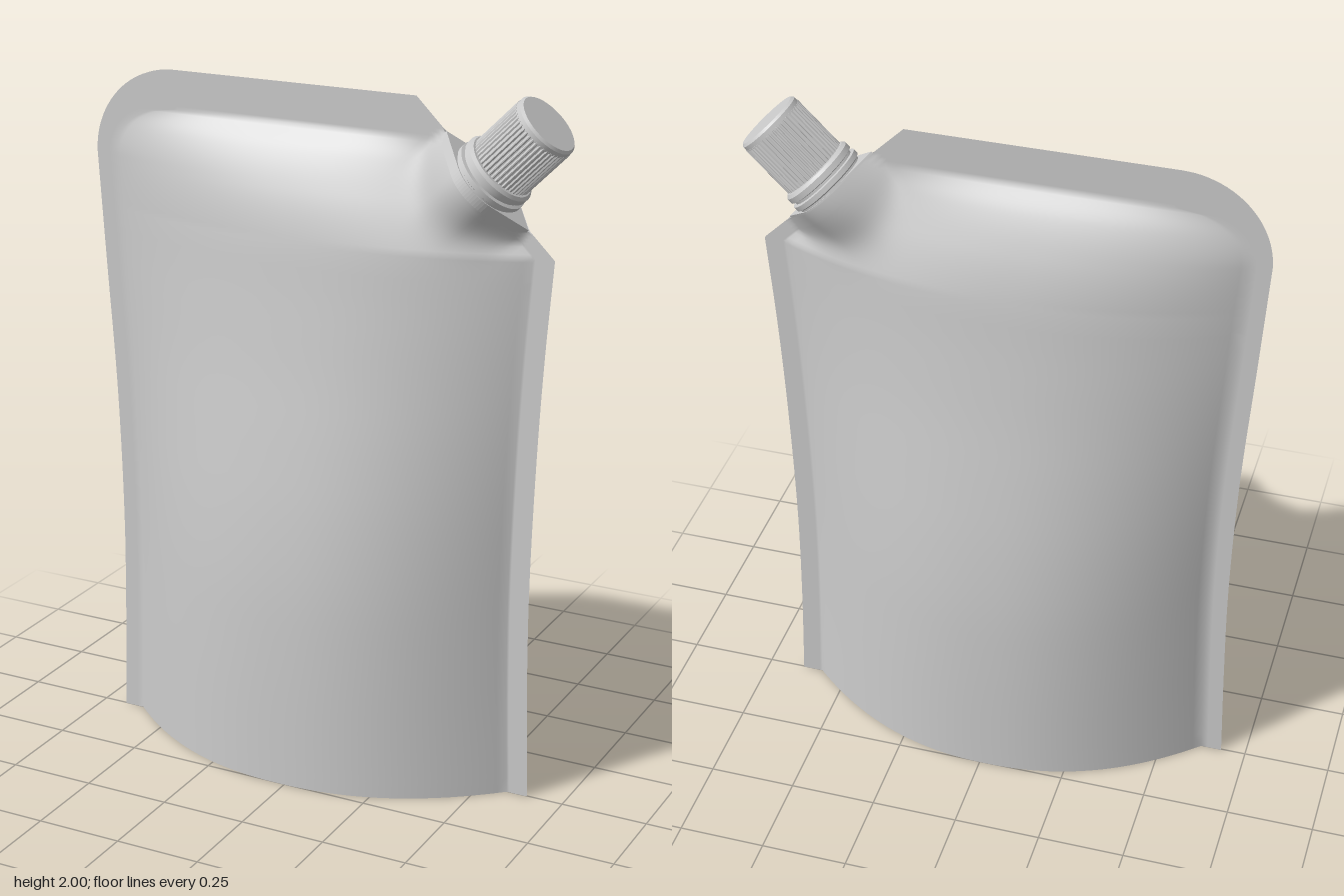
import * as THREE from 'three';

const material = new THREE.MeshStandardMaterial({ color: 0xcccccc, side: THREE.DoubleSide });

const curve = (ys, values) => {
  const c = new THREE.CubicInterpolant(ys, values, 1, new Float32Array(1));
  return (y) => c.evaluate(Math.min(y, ys[ys.length - 1]))[0];
};

const TOP = 1.97, SEAL = 1.86;
const SPOUT = { x: 0.485, y: 1.77, z: 0.005 };
const leftSide = curve([0, 0.3, 0.6, 1, 1.4, 1.72], [-0.677, -0.669, -0.665, -0.675, -0.7, -0.72]);
const rightSide = curve([0, 0.3, 0.6, 1, 1.3, 1.57], [0.642, 0.633, 0.63, 0.64, 0.655, 0.675]);
const halfDepth = curve(
  [0, 0.4, 0.6, 0.8, 1, 1.2, 1.4, 1.6, 1.7, 1.8, SEAL],
  [0.25, 0.248, 0.242, 0.225, 0.199, 0.17, 0.145, 0.12, 0.092, 0.045, 0]);

// Outer edges of the sheet in one row: rounded corner at left, cut corner at right
const arc = (y, rx, ry) => -0.47 - rx * Math.sqrt(Math.max(0, 1 - ((y - 1.72) / ry) ** 2));
const outerLeft = (y) => (y > 1.72 ? arc(y, 0.25, 0.25) : leftSide(y));
const diagonal = (y) => 0.675 - (y - 1.57) * (0.405 / 0.4);
const outerRight = (y) => (y > 1.57 ? diagonal(y) : rightSide(y));

// Inner edges, where the welded seam ends and the bulge begins
const innerLeft = (y) => (y > 1.72 ? Math.max(arc(y, 0.19, 0.14), outerLeft(y) + 0.03) : leftSide(y) + 0.06);
const innerRight = (y) => Math.min(rightSide(y) - 0.06, diagonal(y) - 0.06);

// Half section of the spout weld: a circle with tangents running out to the seam
function weld(p, reach = 0.17, r = 0.107) {
  p = Math.abs(p);
  const touch = r * r / reach;
  if (p < touch) return Math.sqrt(r * r - p * p);
  const z = Math.sqrt(r * r - touch * touch);
  return Math.max(0, z * (reach - p) / (reach - touch));
}

function bulge(x, y) {
  const l = innerLeft(y), r = innerRight(y);
  const u = Math.min(1, Math.abs((2 * x - l - r) / (r - l)));
  const body = y < SEAL ? halfDepth(y) * (1 - u ** 2.2) : 0;
  const dx = x - SPOUT.x, dy = y - SPOUT.y;
  const s = (dx + dy) * Math.SQRT1_2, p = (dx - dy) * Math.SQRT1_2;
  const inward = Math.max(0, -s);
  const neck = weld(p, 0.17 + 0.15 * inward) * THREE.MathUtils.smoothstep(s, -0.38, 0.02);
  return 0.003 + Math.cbrt(Math.max(0, body) ** 3 + neck ** 3);
}

// Columns of one row: seam, bulging body, seam
function rowXs(y) {
  const stops = [outerLeft(y), innerLeft(y), innerRight(y), outerRight(y)];
  const counts = [3, 56, 8], xs = [stops[0]];
  counts.forEach((n, k) => {
    for (let i = 1; i <= n; i++) xs.push(THREE.MathUtils.lerp(stops[k], stops[k + 1], i / n));
  });
  return xs;
}

function sheet(side) {
  const ys = [];
  for (let i = 0; i < 30; i++) ys.push(i * 0.05);
  for (let i = 0; i <= 46; i++) ys.push(1.5 + i * 0.01);
  ys.push(1.965, 1.968, TOP);
  const pos = [], index = [], cols = rowXs(0).length;
  for (const y of ys) for (const x of rowXs(y)) pos.push(x, y, side * bulge(x, y));
  for (let j = 0; j < ys.length - 1; j++) {
    for (let i = 0; i < cols - 1; i++) {
      const a = j * cols + i, b = a + 1, c = a + cols, d = c + 1;
      if (side > 0) index.push(a, b, d, a, d, c);
      else index.push(a, d, b, a, c, d);
    }
  }
  const g = new THREE.BufferGeometry();
  g.setAttribute('position', new THREE.Float32BufferAttribute(pos, 3));
  g.setIndex(index);
  g.computeVertexNormals();
  return g;
}

// Flat base closing the open bottom of both sheets
function baseGeometry() {
  const xs = rowXs(0);
  const front = xs.map((x) => new THREE.Vector2(x, bulge(x, 0)));
  const back = xs.map((x) => new THREE.Vector2(x, -bulge(x, 0))).reverse();
  return new THREE.ShapeGeometry(new THREE.Shape([...front, ...back])).rotateX(Math.PI / 2);
}

// Welded foot of the spout, filling the opening between the sheets
function footGeometry() {
  const pts = [];
  for (let i = 0; i <= 40; i++) {
    const p = -0.17 + i * 0.0085;
    pts.push(new THREE.Vector2(p, weld(p)));
  }
  for (let i = 39; i > 0; i--) pts.push(new THREE.Vector2(pts[i].x, -pts[i].y));
  return new THREE.ExtrudeGeometry(new THREE.Shape(pts), { depth: 0.03, bevelEnabled: false })
    .rotateX(-Math.PI / 2).translate(0, -0.035, 0);
}

// Ribbed side of the screw cap
function ribGeometry() {
  const pts = [], ribs = 48;
  for (let i = 0; i < ribs * 4; i++) {
    const a = i / (ribs * 4) * Math.PI * 2, r = i % 4 < 2 ? 0.096 : 0.0925;
    pts.push(new THREE.Vector2(Math.cos(a) * r, Math.sin(a) * r));
  }
  return new THREE.ExtrudeGeometry(new THREE.Shape(pts), { depth: 0.158, bevelEnabled: false })
    .rotateX(-Math.PI / 2).translate(0, 0.056, 0);
}

// Turned part; corners are doubled so its edges stay sharp
function turned(profile) {
  const pts = profile.flatMap(([r, y]) => [new THREE.Vector2(r, y), new THREE.Vector2(r, y)]);
  return new THREE.LatheGeometry(pts.slice(1, -1), 64);
}

export function createModel() {
  const model = new THREE.Group();
  model.name = 'spoutedPouch';
  const add = (parent, name, geometry) => {
    const mesh = new THREE.Mesh(geometry, material);
    mesh.name = name;
    parent.add(mesh);
  };

  add(model, 'frontSheet', sheet(1));
  add(model, 'backSheet', sheet(-1));
  add(model, 'base', baseGeometry());

  const spout = new THREE.Group();
  spout.name = 'spout';
  spout.position.set(SPOUT.x, SPOUT.y, SPOUT.z);
  spout.rotation.z = -Math.PI / 4;
  add(spout, 'spoutFoot', footGeometry());
  add(spout, 'spoutCollar', turned([
    [0, -0.03], [0.104, -0.03], [0.104, 0], [0.111, 0.004], [0.111, 0.018], [0.1, 0.02],
    [0.1, 0.027], [0.108, 0.03], [0.108, 0.046], [0.1, 0.054], [0, 0.054]]));
  add(spout, 'capRibs', ribGeometry());
  add(spout, 'capTop', turned([[0.0945, 0.21], [0.0945, 0.226], [0.088, 0.233], [0, 0.233]]));
  model.add(spout);
  return model;
}
